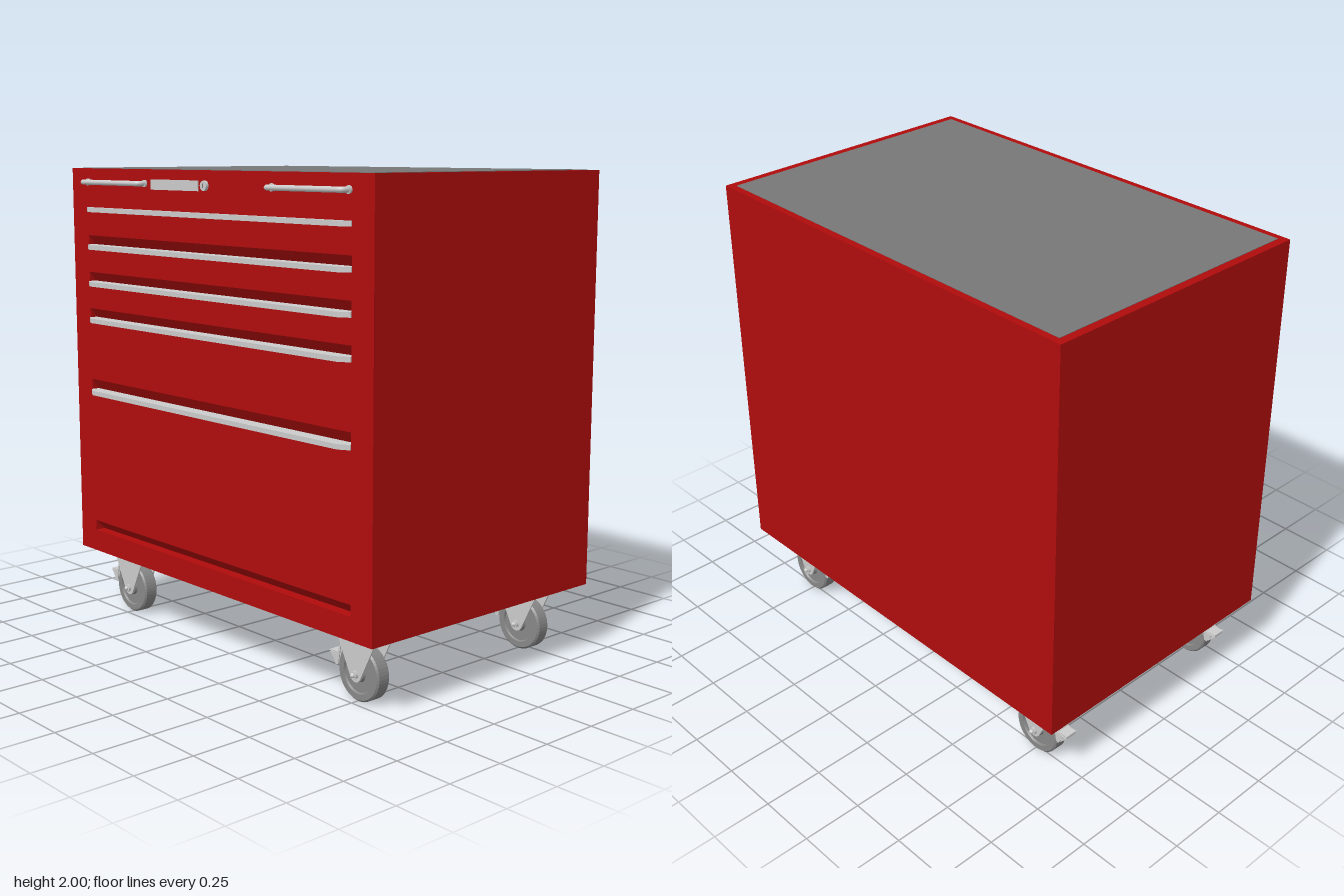
import * as THREE from 'three';

const paint = new THREE.MeshStandardMaterial({ color: 0xb00c0c });
const metal = new THREE.MeshStandardMaterial({ color: 0xcccccc });
const mat = new THREE.MeshStandardMaterial({ color: 0x777777 });
const rubber = new THREE.MeshStandardMaterial({ color: 0x888888 });

const W = 0.96, BOTTOM = 0.29, TOP = 2, BACK = -0.64, FRONT = 0.595, RECESS = 0.045, SLOT = 0.845;

function add(parent, name, geometry, material, x = 0, y = 0, z = 0) {
  const mesh = new THREE.Mesh(geometry, material);
  mesh.name = name;
  mesh.position.set(x, y, z);
  parent.add(mesh);
  return mesh;
}

const box = (w, h, d) => new THREE.BoxGeometry(w, h, d);
const extrude = (shape, depth) => new THREE.ExtrudeGeometry(shape, { depth, bevelEnabled: false, curveSegments: 16 });
const polygon = (pts) => new THREE.Shape(pts.map(([x, y]) => new THREE.Vector2(x, y)));
const rect = (x0, y0, x1, y1) => [[x0, y0], [x1, y0], [x1, y1], [x0, y1]];

// Cylinder lying along z
function zCylinder(r, length, sides = 20) {
  return new THREE.CylinderGeometry(r, r, length, sides).rotateX(Math.PI / 2);
}

function makeCabinet() {
  const g = new THREE.Group();
  g.name = 'cabinet';
  const inner = FRONT - RECESS;
  const top = TOP - 0.002;
  add(g, 'cabinetBody', box(2 * W, top - BOTTOM, inner - BACK), paint, 0, (top + BOTTOM) / 2, (inner + BACK) / 2);
  add(g, 'topMat', box(1.85, 0.01, 1.175), mat, 0, TOP - 0.005, -0.0225);

  // Front panel pierced by long finger slots
  const slots = [[1.65, 1.71], [1.49, 1.55], [1.33, 1.39], [1.01, 1.075], [0.385, 0.43]];
  const panel = polygon(rect(-W, BOTTOM, W, top));
  for (const [y0, y1] of slots) panel.holes.push(new THREE.Path(polygon(rect(-SLOT, y0, SLOT, y1)).getPoints()));
  add(g, 'frontPanel', extrude(panel, RECESS), paint, 0, 0, inner);

  // Sloping roof inside each slot
  for (const [y0, y1] of slots) {
    const wedge = extrude(polygon([[0, y0], [RECESS - 0.002, y1], [0, y1]]), 2 * SLOT);
    add(g, 'slotSlope', wedge.rotateY(-Math.PI / 2), paint, SLOT, 0, inner);
  }
  return g;
}

function makeDrawerPulls() {
  const g = new THREE.Group();
  g.name = 'drawerPulls';
  // Plan of a strip with chamfered ends, its back reaching into the slot
  const plan = polygon([[-SLOT, 0.56], [SLOT, 0.56], [SLOT, 0.6], [0.8, 0.625], [-0.8, 0.625], [-SLOT, 0.6]]);
  for (const y of [1.832, 1.67, 1.51, 1.35, 1.03]) {
    add(g, 'drawerPull', extrude(plan, 0.02).rotateX(Math.PI / 2), metal, 0, y, 0);
  }
  return g;
}

function makeLidFittings() {
  const g = new THREE.Group();
  g.name = 'lidFittings';
  // Pair of bent bar handles with round feet
  for (const side of [-1, 1]) {
    const a = 0.41, b = 0.832, z = 0.633, r = 0.022;
    const v = (x, d) => new THREE.Vector3(x * side, 1.94, d);
    const path = new THREE.CurvePath();
    path.add(new THREE.LineCurve3(v(a, 0.58), v(a, z - r)));
    path.add(new THREE.QuadraticBezierCurve3(v(a, z - r), v(a, z), v(a + r, z)));
    path.add(new THREE.LineCurve3(v(a + r, z), v(b - r, z)));
    path.add(new THREE.QuadraticBezierCurve3(v(b - r, z), v(b, z), v(b, z - r)));
    path.add(new THREE.LineCurve3(v(b, z - r), v(b, 0.58)));
    add(g, 'barHandle', new THREE.TubeGeometry(path, 120, 0.011, 12), metal);
    for (const x of [a, b]) add(g, 'handleFoot', zCylinder(0.015, 0.01), metal, x * side, 1.94, 0.599);
  }
  add(g, 'badgePlate', box(0.32, 0.042, 0.012), metal, -0.205, 1.937, 0.593);
  add(g, 'keyLock', zCylinder(0.02, 0.03, 28), metal, 0, 1.938, 0.593);
  add(g, 'keySlot', box(0.005, 0.018, 0.004), mat, 0, 1.938, 0.608);
  return g;
}

function makeCaster(x, z) {
  const g = new THREE.Group();
  g.name = 'caster';
  g.position.set(x, 0, z);
  const axleY = 0.111;

  // Wheel turned around its axle: hub, sunken web, tyre
  const half = [[0.008, 0.036], [0.03, 0.036], [0.034, 0.024], [0.076, 0.024], [0.08, 0.032], [0.104, 0.032], [0.111, 0.025]];
  const outline = [...half, ...half.slice().reverse().map(([r, h]) => [r, -h])];
  // Doubled corners keep the edges crisp
  const points = outline.flatMap(([r, h], i) => {
    const p = new THREE.Vector2(r, h);
    return i === 0 || i === outline.length - 1 ? [p] : [p, p.clone()];
  }).reverse();
  const wheel = new THREE.LatheGeometry(points, 48).rotateX(Math.PI / 2).toNonIndexed();
  wheel.computeVertexNormals();
  add(g, 'wheel', wheel, rubber, 0, axleY, 0);

  // Tapered fork cheeks rounded around the axle
  const cheek = new THREE.Shape();
  cheek.moveTo(-0.11, 0.277);
  cheek.lineTo(-0.11, 0.262);
  cheek.lineTo(-0.028, 0.1);
  cheek.absarc(0, axleY, 0.03, Math.PI * 1.12, Math.PI * 1.88, false);
  cheek.lineTo(0.11, 0.262);
  cheek.lineTo(0.11, 0.277);
  cheek.closePath();
  for (const s of [-1, 1]) {
    add(g, 'forkCheek', extrude(cheek, 0.006), metal, 0, 0, s * 0.043 - 0.003);
    add(g, 'axleNut', zCylinder(0.017, 0.012, 6), metal, 0, axleY, s * 0.052);
    add(g, 'axleCap', new THREE.SphereGeometry(0.01, 14, 8), metal, 0, axleY, s * 0.06);
    add(g, 'pinHead', zCylinder(0.008, 0.008, 12), metal, 0, 0.24, s * 0.048);
  }
  add(g, 'axle', zCylinder(0.009, 0.125), metal, 0, axleY, 0);
  add(g, 'crossPin', zCylinder(0.006, 0.095, 12), metal, 0, 0.24, 0);

  // Fork crown and swivel
  add(g, 'forkCrown', box(0.22, 0.007, 0.086), metal, 0, 0.274, 0);
  add(g, 'swivelPin', new THREE.CylinderGeometry(0.026, 0.026, 0.036, 24), metal, 0, 0.274, 0);
  add(g, 'swivelCup', new THREE.CylinderGeometry(0.038, 0.022, 0.014, 24), metal, 0, 0.262, 0);

  // Brake pedal with its arm
  const pedal = polygon([[-0.164, 0.166], [-0.15, 0.162], [-0.125, 0.115], [-0.112, 0.12], [-0.1, 0.19], [-0.085, 0.22], [-0.094, 0.225], [-0.115, 0.17], [-0.135, 0.163]]);
  const tread = polygon([[-0.164, 0.167], [-0.164, 0.155], [-0.128, 0.118], [-0.114, 0.122], [-0.106, 0.15], [-0.084, 0.215], [-0.094, 0.22], [-0.118, 0.167]]);
  add(g, 'brakePedal', extrude(tread, 0.05), metal, 0, 0, -0.025);
  for (const s of [-1, 1]) add(g, 'brakeArm', extrude(pedal, 0.004), metal, 0, 0, s * 0.03 - 0.002);
  return g;
}

export function createModel() {
  const model = new THREE.Group();
  model.name = 'rollingToolCabinet';
  model.add(makeCabinet(), makeDrawerPulls(), makeLidFittings());
  for (const x of [-0.755, 0.755]) {
    for (const z of [0.44, -0.485]) model.add(makeCaster(x, z));
  }
  return model;
}
